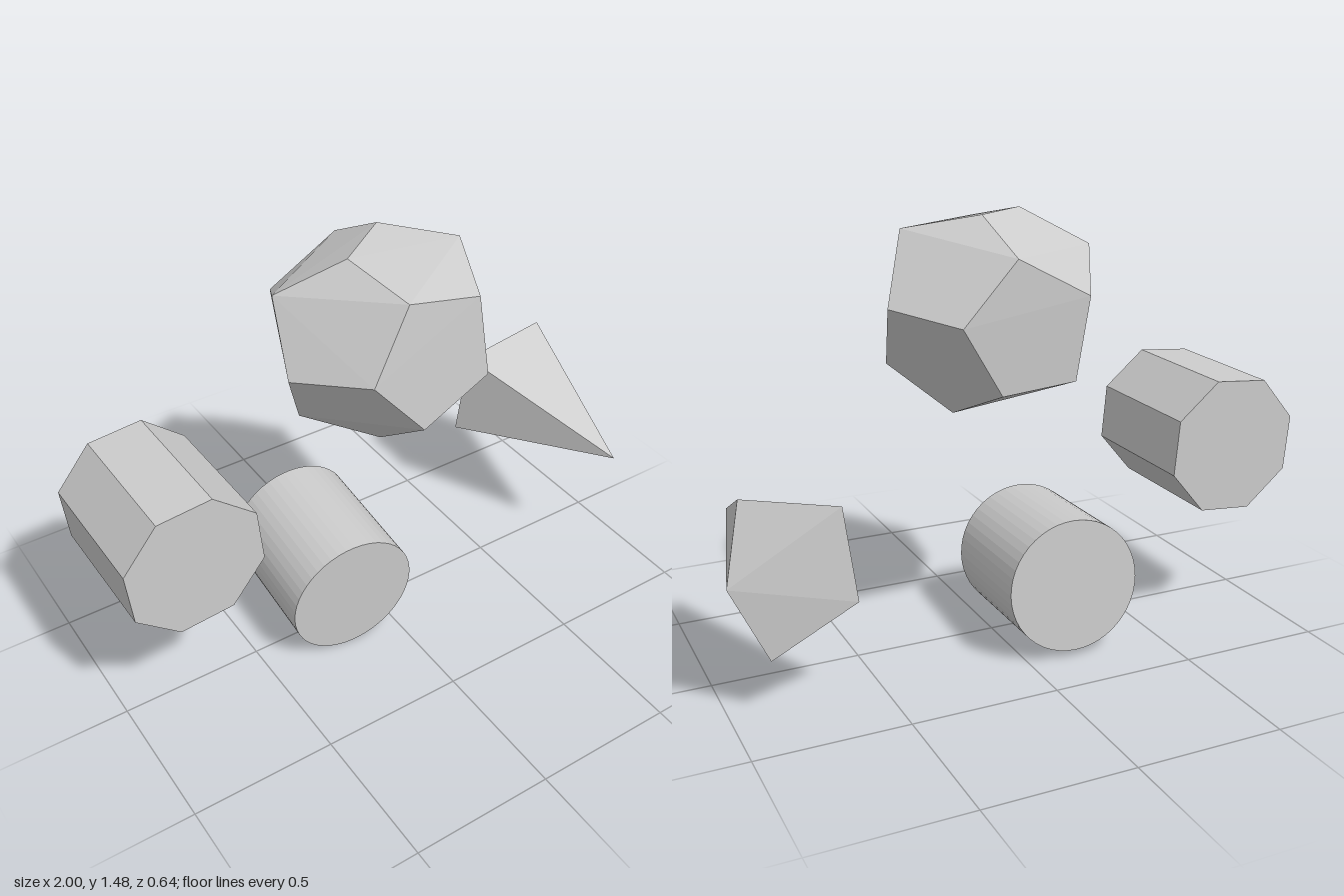
import * as THREE from 'three';
import { ConvexGeometry } from 'three/addons/geometries/ConvexGeometry.js';

const material = new THREE.MeshStandardMaterial({ color: 0xcccccc, flatShading: true });
const vec = (p) => new THREE.Vector3(...p);

// Straight prism whose caps are centred on the points back and front.
function prism(name, back, front, radius, sides, turn = 0) {
  const a = vec(back), b = vec(front);
  const geometry = new THREE.CylinderGeometry(
    radius, radius, a.distanceTo(b), sides, 1, false, THREE.MathUtils.degToRad(turn));
  geometry.rotateX(Math.PI / 2);
  const mesh = new THREE.Mesh(geometry, material);
  mesh.name = name;
  mesh.position.copy(a).add(b).multiplyScalar(0.5);
  mesh.lookAt(b);
  return mesh;
}

// Faceted solid spanned by its corner points.
function solid(name, corners) {
  const mesh = new THREE.Mesh(new ConvexGeometry(corners.map(vec)), material);
  mesh.name = name;
  return mesh;
}

export function createModel() {
  const group = new THREE.Group();
  group.name = 'geometricSolids';

  group.add(prism('octagonalPrism', [-0.767, 0.673, -0.315], [-0.764, 0.677, 0.173], 0.247, 8, 27.3));
  group.add(prism('cylinder', [-0.164, 0.259, -0.304], [-0.185, 0.235, 0.152], 0.23, 48));

  // Pyramid lying with its apex to the front, on an uneven five-sided base
  group.add(solid('pyramid', [
    [0.85, 0.49, 0.3],
    [0.635, 0.67, -0.305], [0.945, 0.735, -0.287], [1, 0.47, -0.315],
    [0.875, 0.205, -0.3], [0.595, 0.355, -0.317],
  ]));

  // Slightly uneven dodecahedron: front face, two middle rings, back face
  group.add(solid('dodecahedron', [
    [-0.06, 1.43, 0.28], [0.205, 1.37, 0.275], [0.235, 1.09, 0.298], [-0.02, 0.985, 0.317], [-0.2, 1.2, 0.307],
    [-0.115, 1.483, 0.032], [0.305, 1.437, 0.03], [0.348, 0.995, 0.067], [-0.04, 0.83, 0.1], [-0.36, 1.155, 0.077],
    [0.085, 1.485, -0.112], [0.4, 1.21, -0.1], [0.165, 0.837, -0.055], [-0.268, 0.93, -0.03], [-0.315, 1.365, -0.083],
    [0.1, 0.945, -0.3], [-0.16, 0.965, -0.295], [-0.2, 1.24, -0.308], [0.057, 1.375, -0.317], [0.24, 1.175, -0.317],
  ]));

  return group;
}
